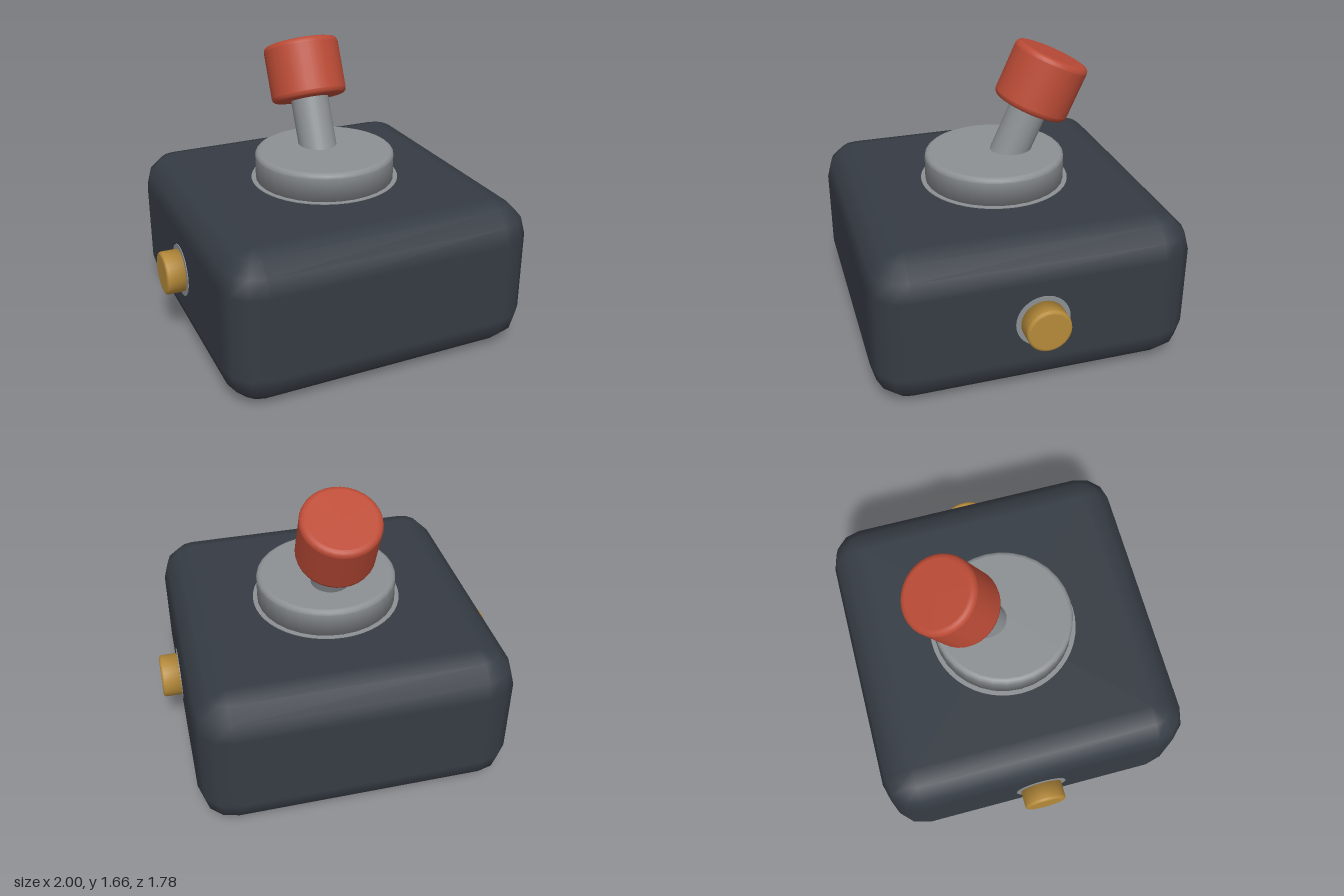
import * as THREE from 'three';

const paint = (name, color) => {
  const m = new THREE.MeshStandardMaterial({ color });
  m.name = name;
  return m;
};

// Box with round corners: rings of a rounded rectangle, closed by flat caps
function softBox(w, h, d, r, steps) {
  const ringCount = 2 * steps + 1;
  const around = 4 * (steps + 1);
  const g = new THREE.PlaneGeometry(1, 1, around, ringCount + 2);
  const pos = g.attributes.position, nor = g.attributes.normal;
  const step = Math.PI / 2 / steps;
  for (let row = 0; row <= ringCount + 2; row++) {
    const upper = row <= steps + 1;
    const isCentre = row === 0 || row === ringCount + 2;
    const k = THREE.MathUtils.clamp(row - 1, 0, ringCount);
    const lat = Math.PI / 2 - (upper ? k : k - 1) * step;
    for (let col = 0; col <= around; col++) {
      const quarter = Math.floor(col / (steps + 1)) % 4;
      const a = quarter * Math.PI / 2 + (col % (steps + 1)) * step;
      const nx = Math.cos(lat) * Math.sin(a), ny = Math.sin(lat), nz = Math.cos(lat) * Math.cos(a);
      const sx = quarter < 2 ? 1 : -1, sz = quarter === 0 || quarter === 3 ? 1 : -1;
      const i = row * (around + 1) + col;
      const y = (upper ? 1 : -1) * (h / 2 - r) + r * ny;
      if (isCentre) pos.setXYZ(i, 0, y, 0);
      else pos.setXYZ(i, sx * (w / 2 - r) + r * nx, y, sz * (d / 2 - r) + r * nz);
      nor.setXYZ(i, nx, ny, nz);
    }
  }
  return g;
}

// Upright cylinder from y = 0 to h with a rounded top rim, and optionally bottom rim
function softCylinder(r, h, bevel, bothEnds = false) {
  const e = 0.002, p = [[0, 0]];
  const arc = (cy, from) => {
    for (let i = 0; i <= 3; i++) {
      const a = from + i * Math.PI / 6;
      p.push([r - bevel + bevel * Math.cos(a), cy + bevel * Math.sin(a)]);
    }
  };
  if (bothEnds) {
    p.push([r - bevel - e, 0]);
    arc(bevel, -Math.PI / 2);
    p.push([r, bevel + e]);
  } else {
    p.push([r, 0]);
  }
  p.push([r, h - bevel - e]);
  arc(h - bevel, 0);
  p.push([r - bevel - e, h], [0, h]);
  return new THREE.LatheGeometry(p.map(([x, y]) => new THREE.Vector2(x, y)), 32);
}

export function createModel() {
  const charcoal = paint('charcoal', 0x363c44);
  const steel = paint('steel grey', 0x8c9093);
  const red = paint('knob red', 0xbb4b36);
  const brass = paint('brass', 0xb58a3a);

  const model = new THREE.Group();
  model.name = 'leverSwitch';
  const add = (parent, name, geometry, material, y = 0) => {
    const mesh = new THREE.Mesh(geometry, material);
    mesh.name = name;
    mesh.position.y = y;
    parent.add(mesh);
    return mesh;
  };

  // Housing
  add(model, 'housing', softBox(1.78, 0.865, 1.78, 0.2, 3), charcoal, 0.4325);

  // Collar with its thin flange
  add(model, 'collarFlange', new THREE.CylinderGeometry(0.425, 0.425, 0.008, 48), steel, 0.865);
  add(model, 'collar', softCylinder(0.4, 0.18, 0.025), steel, 0.85);

  // Lever tilted towards the back
  const lever = new THREE.Group();
  lever.name = 'lever';
  lever.position.set(0, 0.81, 0);
  lever.rotation.x = -THREE.MathUtils.degToRad(24.5);
  model.add(lever);
  add(lever, 'leverShaft', new THREE.CylinderGeometry(0.11, 0.11, 0.5, 32), steel, 0.35);
  add(lever, 'leverKnob', softCylinder(0.22, 0.335, 0.03, true), red, 0.505);

  // Side buttons with flanges
  for (const side of [1, -1]) {
    const button = new THREE.Group();
    button.name = side > 0 ? 'leftButton' : 'rightButton';
    button.position.set(side * 0.87, 0.435, 0);
    button.rotation.z = -side * Math.PI / 2;
    model.add(button);
    add(button, 'buttonFlange', new THREE.CylinderGeometry(0.15, 0.15, 0.008, 32), steel, 0.02);
    add(button, 'buttonCap', softCylinder(0.123, 0.13, 0.015), brass);
  }
  return model;
}
